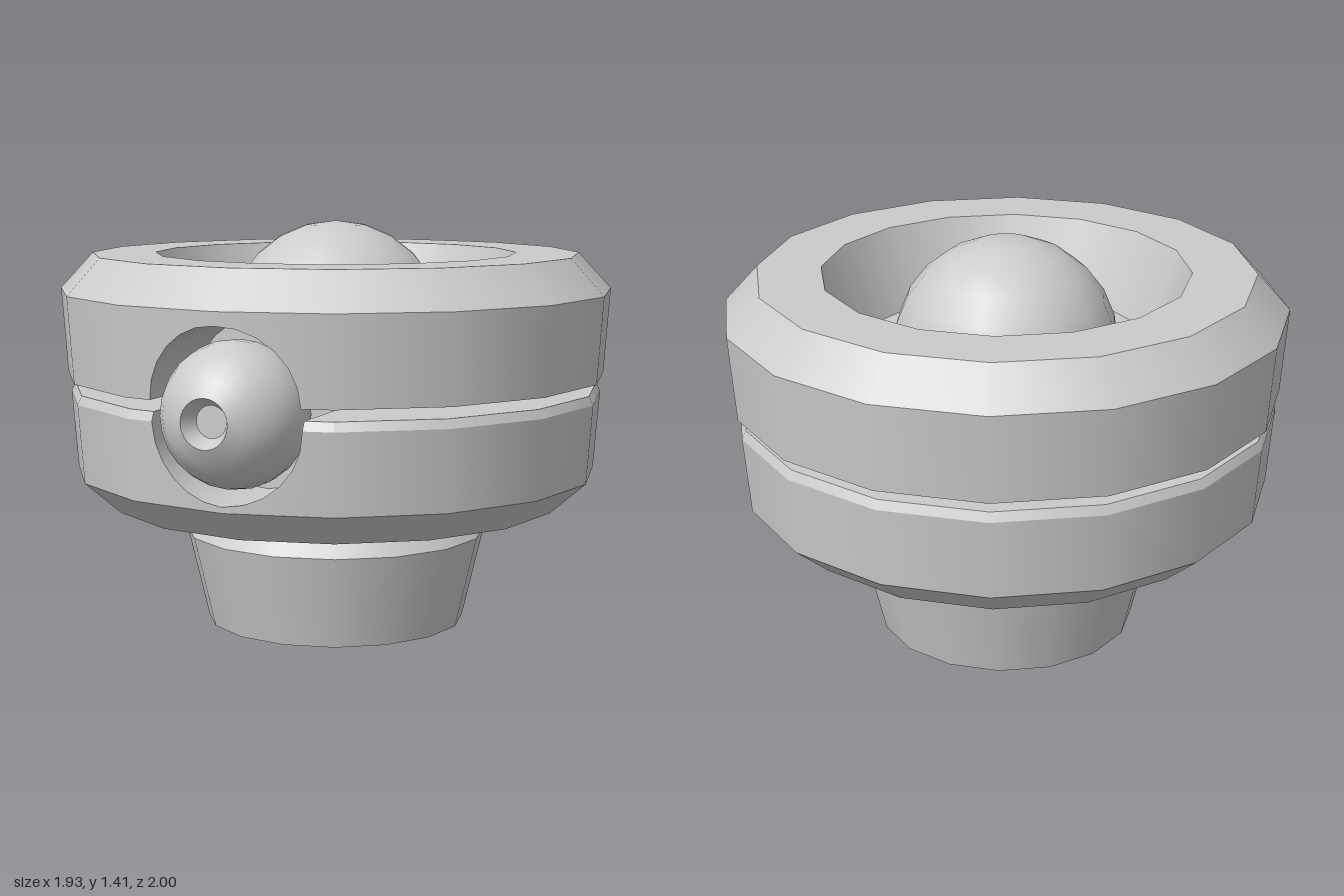
import * as THREE from 'three';
import { mergeGeometries } from 'three/addons/utils/BufferGeometryUtils.js';

const SIDES = 16;
const STEP = (Math.PI * 2) / SIDES;
const AXIS_Z = -0.035;      // the round body sits slightly behind the centre
const SOCKET_BACK = 0.58;   // where the lens socket ends, measured from the body axis
const SOCKET_W = 0.26;      // half width of the socket

const material = new THREE.MeshStandardMaterial({ color: 0xcccccc, side: THREE.DoubleSide });

function addMesh(parent, name, geometries) {
  const mesh = new THREE.Mesh(mergeGeometries(geometries), material);
  mesh.name = name;
  parent.add(mesh);
  return mesh;
}

const points = (list) => list.map(([x, y]) => new THREE.Vector2(x, y));

// One hard-edged lathe band per profile segment
function bands(profile, sides = SIDES) {
  return profile.slice(1).map((p, i) => new THREE.LatheGeometry(points([profile[i], p]), sides));
}

// Depth of a front facet at sideways position x, for a ring of radius r
const facetZ = (r, x) => r - Math.abs(x) * Math.tan(STEP / 2);

// A band whose two front facets are cut along an edge, running from the outer side to x = 0
function notchedBand([r0, y0], [r1, y1], edge, openTop) {
  const parts = [new THREE.LatheGeometry(points([[r0, y0], [r1, y1]]), SIDES - 2, STEP, Math.PI * 2 - 2 * STEP)];
  const s = Math.sin(STEP);
  for (const side of [1, -1]) {
    const outline = openTop
      ? [[0, y0], [r0 * s, y0], [r1 * s, y1], ...edge]
      : [[0, y1], [r1 * s, y1], [r0 * s, y0], ...edge];
    const geo = new THREE.ShapeGeometry(new THREE.Shape(points(outline.map(([x, y]) => [x * side, y]))));
    const pos = geo.attributes.position, nor = geo.attributes.normal;
    for (let i = 0; i < pos.count; i++) {
      const x = pos.getX(i), y = pos.getY(i);
      const z = facetZ(THREE.MathUtils.mapLinear(y, y0, y1, r0, r1), x);
      pos.setZ(i, z);
      const r = Math.hypot(x, z);
      const n = new THREE.Vector3(x / r, (r0 - r1) / (y1 - y0), z / r).normalize();
      nor.setXYZ(i, n.x, n.y, n.z);
    }
    parts.push(geo);
  }
  return parts;
}

// Flat polygonal disc with a slot cut in from the front; dir = 1 faces up, -1 down
function slottedDisc(radius, y, dir) {
  const outline = [];
  for (let i = 1; i < SIDES; i++) outline.push([radius * Math.sin(i * STEP), -radius * Math.cos(i * STEP)]);
  const front = -facetZ(radius, SOCKET_W);
  outline.push([-SOCKET_W, front], [-SOCKET_W, -SOCKET_BACK], [SOCKET_W, -SOCKET_BACK], [SOCKET_W, front]);
  const geo = new THREE.ShapeGeometry(new THREE.Shape(points(outline)));
  geo.rotateX(-Math.PI / 2).translate(0, y, 0);
  if (dir < 0) {
    const nor = geo.attributes.normal;
    for (let i = 0; i < nor.count; i++) nor.setY(i, -1);
    const index = geo.index.array;
    for (let i = 0; i < index.length; i += 3) [index[i], index[i + 1]] = [index[i + 1], index[i]];
  }
  return geo;
}

// Quarter arc from the socket side (x = SOCKET_W, y) to its tip (x = 0, y + rise)
function arc(y, rise, n = 6) {
  return Array.from({ length: n + 1 }, (_, i) => {
    const a = (i / n) * Math.PI / 2;
    return [i === n ? 0 : SOCKET_W * Math.cos(a), y + rise * Math.sin(a)];
  });
}

// Socket lining and back wall; radiusAt gives the outer radius at a height
function socket(half, radiusAt, up) {
  const path = [...half, ...half.slice(0, -1).reverse().map(([x, y]) => [-x, y])];
  if (up) path.reverse();
  const lining = new THREE.PlaneGeometry(1, 1, path.length - 1, 1);
  const pos = lining.attributes.position;
  path.forEach(([x, y], i) => {
    pos.setXYZ(i, x, y, SOCKET_BACK);
    pos.setXYZ(i + path.length, x, y, facetZ(radiusAt(y), x));
  });
  lining.computeVertexNormals();
  const back = new THREE.ShapeGeometry(new THREE.Shape(points(path)));
  back.translate(0, 0, SOCKET_BACK);
  return [lining, back];
}

export function createModel() {
  const model = new THREE.Group();
  const body = new THREE.Group();
  body.name = 'body';
  body.position.z = AXIS_Z;
  model.add(body);

  // Hollow, flared foot
  addMesh(body, 'foot', bands([[0.455, 0], [0.53, 0.32], [0.46, 0.41]]));

  // Lower ring with the lower half of the lens socket
  const lowArc = arc(0.81, -0.25);
  const lowRadius = (y) => y > 0.81
    ? THREE.MathUtils.mapLinear(y, 0.81, 0.84, 0.935, 0.92)
    : THREE.MathUtils.mapLinear(y, 0.54, 0.81, 0.915, 0.935);
  const lipParts = notchedBand([0.935, 0.81], [0.92, 0.84], [[SOCKET_W, 0.84], [SOCKET_W, 0.81]], true)
    .slice(0, 1);
  for (const side of [1, -1]) {
    // Short lip facets left standing beside the socket
    const s = Math.sin(STEP);
    const lip = new THREE.PlaneGeometry(1, 1);
    const corners = [[SOCKET_W, 0.84, 0.92], [0.92 * s, 0.84, 0.92], [SOCKET_W, 0.81, 0.935], [0.935 * s, 0.81, 0.935]];
    if (side < 0) [corners[0], corners[1], corners[2], corners[3]] = [corners[1], corners[0], corners[3], corners[2]];
    corners.forEach(([x, y, r], i) => lip.attributes.position.setXYZ(i, x * side, y, facetZ(r, x)));
    lip.computeVertexNormals();
    lipParts.push(lip);
  }
  addMesh(body, 'lowerRing', [
    ...bands([[0, 0.43], [0.79, 0.43], [0.915, 0.54]]),
    ...notchedBand([0.915, 0.54], [0.935, 0.81], lowArc, true),
    ...lipParts,
    slottedDisc(0.92, 0.84, 1),
  ]);
  addMesh(body, 'lowerSocket', socket([[SOCKET_W, 0.84], ...lowArc], lowRadius, false));

  // Upper ring with a sunken dish and the upper half of the lens socket
  const highArc = arc(0.88, 0.25);
  const highRadius = (y) => THREE.MathUtils.mapLinear(y, 0.88, 1.175, 0.945, 0.965);
  addMesh(body, 'upperRing', [
    ...notchedBand([0.945, 0.88], [0.965, 1.175], highArc, false),
    ...bands([[0.965, 1.175], [0.85, 1.3], [0.63, 1.3], [0.525, 1.02], [0, 1.02]]),
    slottedDisc(0.945, 0.88, -1),
  ]);
  addMesh(body, 'upperSocket', socket(highArc, highRadius, true));

  // Ball in the dish, reaching down through the gap between the rings
  const ball = addMesh(body, 'ball', [new THREE.SphereGeometry(0.392, SIDES, 12)]);
  ball.position.y = 1.018;
  ball.rotation.y = STEP / 2;

  // Round lens with a recessed pupil, turned about the z axis
  const R = 0.238, rim = Math.asin(0.08 / R);
  const shell = Array.from({ length: 13 }, (_, i) => {
    const a = Math.PI - (i / 12) * (Math.PI - rim);
    return [i === 0 ? 0 : R * Math.sin(a), R * Math.cos(a)];
  });
  const lens = addMesh(model, 'lens', [
    new THREE.LatheGeometry(points(shell), 24),
    ...bands([shell[12], [0.052, 0.17], [0, 0.17]], 24),
  ]);
  lens.rotation.x = Math.PI / 2;
  lens.position.set(0, 0.838, 0.776);

  return model;
}
